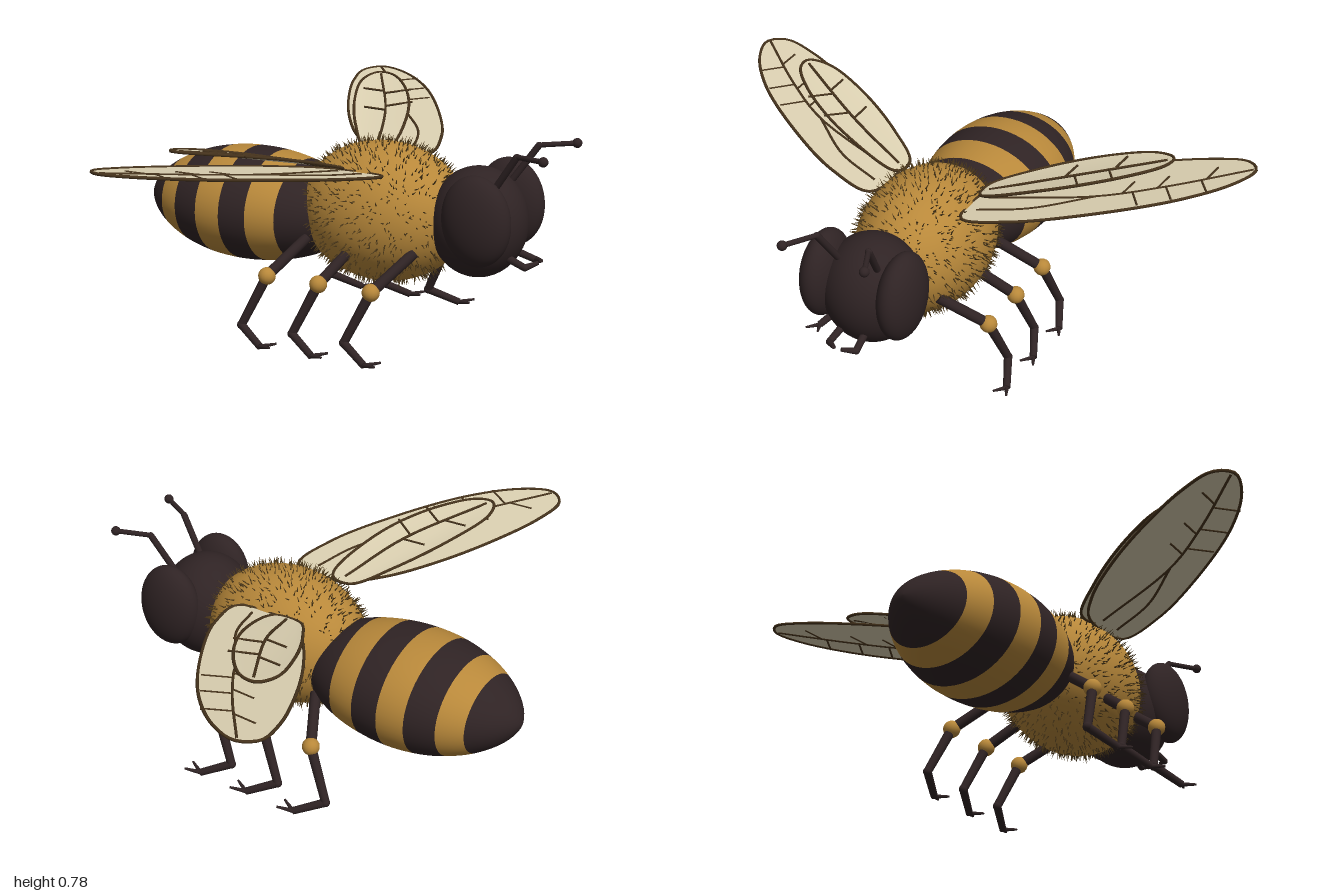
import * as THREE from 'three';
import { mergeGeometries } from 'three/addons/utils/BufferGeometryUtils.js';

const mat = (name, color, extra = {}) => {
  const m = new THREE.MeshStandardMaterial({ color, ...extra });
  m.name = name;
  return m;
};
const V = (x, y, z) => new THREE.Vector3(x, y, z);

export function createModel() {
  const dark = mat('dark brown', 0x2f2324);
  const gold = mat('honey gold', 0xb8883a);
  const hairMat = mat('hair brown', 0x4e3a1a);
  const membrane = mat('wing cream', 0xdcd1b2, { side: THREE.DoubleSide });
  const veinMat = mat('vein brown', 0x46331c);

  const bee = new THREE.Group();
  bee.name = 'bee';

  const add = (parent, name, geometry, material) => {
    const mesh = new THREE.Mesh(geometry, material);
    mesh.name = name;
    parent.add(mesh);
    return mesh;
  };
  const ellipsoid = (parent, name, c, r, material) => {
    const mesh = add(parent, name, new THREE.SphereGeometry(1, 40, 28), material);
    mesh.position.set(...c);
    mesh.scale.set(...r);
    return mesh;
  };
  const ball = (parent, name, p, r, material) => {
    add(parent, name, new THREE.SphereGeometry(r, 16, 12), material).position.copy(p);
  };
  const rod = (parent, name, a, b, r0, r1 = r0) => {
    const d = b.clone().sub(a);
    const mesh = add(parent, name, new THREE.CylinderGeometry(r1, r0, d.length(), 12), dark);
    mesh.position.copy(a).lerp(b, 0.5);
    mesh.quaternion.setFromUnitVectors(V(0, 1, 0), d.normalize());
  };

  // Abdomen: one lathe per stripe, flattened in height
  const abdomen = new THREE.Group();
  abdomen.name = 'abdomen';
  abdomen.position.y = 0.415;
  bee.add(abdomen);
  const radius = (x) => {
    const t = Math.min(1, Math.abs(x + 0.39) / 0.42);
    return 0.25 * Math.pow(1 - t * t, x < -0.39 ? 0.62 : 0.5);
  };
  const edges = [-0.81, -0.685, -0.6, -0.495, -0.393, -0.29, -0.185, 0.03];
  for (let i = 0; i < edges.length - 1; i++) {
    const pts = [];
    for (let k = 0; k <= 12; k++) {
      const s = k / 12;
      const u = i === 0 ? s * s : s;
      const x = edges[i] + (edges[i + 1] - edges[i]) * u;
      pts.push(new THREE.Vector2(radius(x), x));
    }
    const g = new THREE.LatheGeometry(pts, 48).rotateZ(-Math.PI / 2).scale(1, 0.82, 1);
    add(abdomen, 'abdomenStripe' + (i + 1), g, i % 2 ? gold : dark);
  }

  // Thorax with a coat of short hairs
  const tc = [0.14, 0.45, 0];
  const tr = [0.31, 0.247, 0.228];
  ellipsoid(bee, 'thorax', tc, tr, gold);
  let seed = 7;
  const rand = () => (seed = (seed * 16807) % 2147483647) / 2147483647;
  const hairs = [];
  const count = 1500;
  for (let i = 0; i < count; i++) {
    const h = 1 - (2 * (i + 0.5)) / count;
    const a = i * 2.39996 + rand() * 0.8;
    const q = Math.sqrt(1 - h * h);
    const p = V(q * Math.cos(a) * tr[0], h * tr[1], q * Math.sin(a) * tr[2]);
    if (p.x < -0.27 || p.x > 0.25) continue;
    const n = V(p.x / tr[0] ** 2, p.y / tr[1] ** 2, p.z / tr[2] ** 2).normalize();
    n.add(V(rand() - 0.5, rand() - 0.5, rand() - 0.5).multiplyScalar(0.7)).normalize();
    const len = 0.02 + rand() * 0.014;
    const g = new THREE.ConeGeometry(0.0032, len, 4, 1, true).translate(0, len / 2 - 0.003, 0);
    g.applyQuaternion(new THREE.Quaternion().setFromUnitVectors(V(0, 1, 0), n));
    hairs.push(g.translate(p.x + tc[0], p.y + tc[1], p.z));
  }
  add(bee, 'thoraxHair', mergeGeometries(hairs), hairMat);

  // Head
  ellipsoid(bee, 'head', [0.5, 0.457, 0], [0.172, 0.193, 0.172], dark);

  // Wing height depends only on distance from the body
  const foreY = (z) => 0.625 + (z - 0.19) * 0.149;
  const hindY = (z) => 0.637 + 0.34 * (z - 0.19) - 0.157 * (z - 0.19) ** 2;

  const wing = (name, s, outline, veins, height, ticks) => {
    const w = new THREE.Group();
    w.name = name;
    bee.add(w);
    const place = (p, lift = 0) => V(p.x, height(p.y) + lift, s * p.y);
    const edge = new THREE.CatmullRomCurve3(outline.map(([x, z]) => V(x, z, 0)), true);
    const rim = edge.getPoints(64).slice(0, 64);
    const g = new THREE.ShapeGeometry(new THREE.Shape(rim.map((p) => new THREE.Vector2(p.x, p.y))));
    const pos = g.attributes.position;
    for (let i = 0; i < pos.count; i++) {
      const p = place(V(pos.getX(i), pos.getY(i), 0));
      pos.setXYZ(i, p.x, p.y, p.z);
    }
    g.computeVertexNormals();
    add(w, 'membrane', g, membrane);
    const tube = (pts, r, closed = false) =>
      new THREE.TubeGeometry(new THREE.CatmullRomCurve3(pts, closed), closed ? 96 : 16, r, 6, closed);
    const parts = [tube(rim.map((p) => place(p)), 0.0055, true)];
    veins.forEach((v) => parts.push(tube(v.map(([x, z]) => place(V(x, z, 0))), 0.005)));
    // Short cross veins alternate along the middle vein
    const mid = new THREE.CatmullRomCurve3(veins[0].map(([x, z]) => V(x, z, 0)));
    ticks.forEach((t, i) => {
      const p = mid.getPoint(t);
      const q = p.clone().add(i % 2 ? V(0.085, 0.055, 0) : V(-0.09, 0.005, 0));
      parts.push(tube([place(p), place(q)], 0.004));
    });
    add(w, 'veins', mergeGeometries(parts), veinMat);
  };

  for (const s of [1, -1]) {
    const side = s > 0 ? 'right' : 'left';

    // Eyes
    const eye = ellipsoid(bee, side + 'Eye', [0.555, 0.5, s * 0.148], [0.124, 0.157, 0.07], dark);
    eye.rotation.z = 0.08;

    // Antennae
    const antenna = new THREE.Group();
    antenna.name = side + 'Antenna';
    bee.add(antenna);
    const a = [V(0.59, 0.6, s * 0.075), V(0.675, 0.724, s * 0.097), V(0.79, 0.732, s * 0.153)];
    rod(antenna, 'scape', a[0], a[1], 0.012);
    ball(antenna, 'elbow', a[1], 0.011, dark);
    rod(antenna, 'flagellum', a[1], a[2], 0.009);
    ball(antenna, 'tip', a[2], 0.017, dark);

    // Mandibles
    const jaw = new THREE.Group();
    jaw.name = side + 'Mandible';
    bee.add(jaw);
    const m = [V(0.6, 0.365, s * 0.04), V(0.695, 0.333, s * 0.052), V(0.727, 0.345, s * 0.014)];
    rod(jaw, 'mandibleBase', m[0], m[1], 0.014, 0.012);
    ball(jaw, 'mandibleJoint', m[1], 0.012, dark);
    rod(jaw, 'mandibleTip', m[1], m[2], 0.012, 0.007);

    // Three legs, each with a gold knee and two claws
    [['hind', -0.165, -0.085], ['middle', 0.038, 0.105], ['front', 0.24, 0.33]].forEach(([n, x, hip]) => {
      const leg = new THREE.Group();
      leg.name = side + n[0].toUpperCase() + n.slice(1) + 'Leg';
      bee.add(leg);
      const top = V(hip, 0.36, s * 0.155);
      const knee = V(x, 0.247, s * 0.3);
      const ankle = V(x - 0.085, 0.065, s * 0.335);
      const foot = V(x + 0.018, 0.017, s * 0.385);
      rod(leg, 'thigh', top, knee, 0.019);
      ball(leg, 'knee', knee, 0.031, gold);
      rod(leg, 'shin', knee, ankle, 0.018, 0.015);
      ball(leg, 'ankle', ankle, 0.016, dark);
      rod(leg, 'foot', ankle, foot, 0.015, 0.013);
      for (const c of [-1, 1]) {
        rod(leg, 'claw', foot, V(foot.x + 0.052, 0.028, foot.z + c * 0.025), 0.008, 0.004);
      }
    });

    // Wings
    wing(side + 'Forewing', s,
      [[0.22, 0.18], [0.195, 0.345], [0.08, 0.57], [-0.1, 0.82], [-0.26, 0.955], [-0.37, 0.99],
        [-0.425, 0.94], [-0.41, 0.82], [-0.33, 0.62], [-0.22, 0.42], [-0.1, 0.26], [0.02, 0.17]],
      [[[0.06, 0.2], [-0.05, 0.55], [-0.18, 0.75], [-0.37, 0.98]],
        [[0.15, 0.2], [0.09, 0.37], [-0.05, 0.55]]],
      foreY, [0.45, 0.5, 0.62, 0.66, 0.82, 0.8]);
    wing(side + 'Hindwing', s,
      [[-0.02, 0.16], [-0.12, 0.28], [-0.23, 0.48], [-0.285, 0.66], [-0.26, 0.735], [-0.2, 0.73],
        [-0.08, 0.61], [0.03, 0.4], [0.065, 0.17]],
      [[[0.02, 0.18], [-0.07, 0.42], [-0.24, 0.72]]],
      hindY, [0.5, 0.55, 0.75, 0.72]);
  }
  return bee;
}
